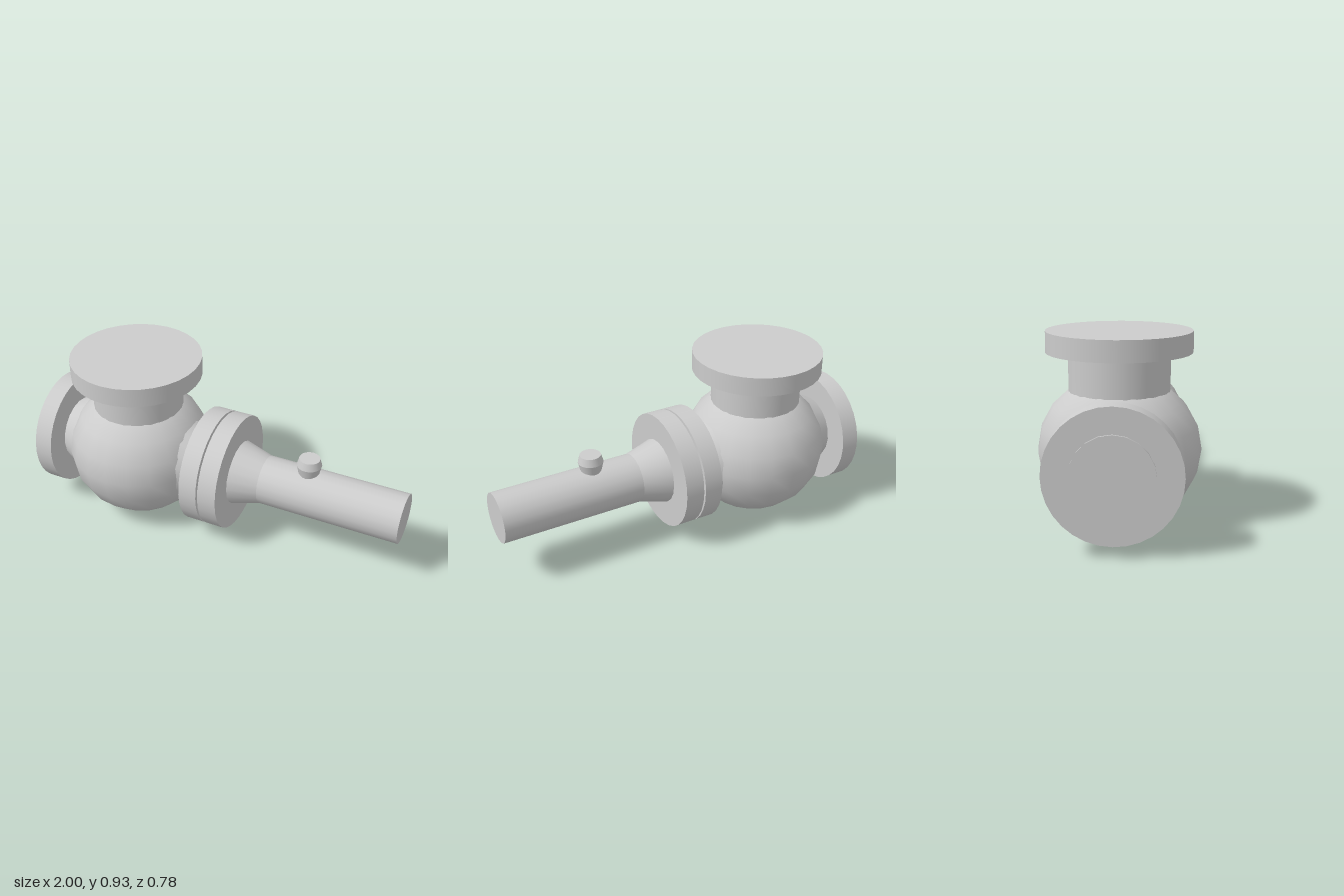
import * as THREE from 'three';

const AXIS_Y = 0.364; // height of the horizontal bore
const grey = new THREE.MeshStandardMaterial({ color: 0xcccccc });

export function createModel() {
  const model = new THREE.Group();
  model.name = 'valve';

  function add(name, geometry, x, y) {
    const mesh = new THREE.Mesh(geometry, grey);
    mesh.name = name;
    mesh.position.set(x, y, 0);
    model.add(mesh);
    return mesh;
  }

  // Round section along x, from (x0, r0) to (x1, r1)
  function along(name, x0, x1, r0, r1 = r0, sides = 20) {
    const geometry = new THREE.CylinderGeometry(r1, r0, x1 - x0, sides);
    geometry.rotateZ(-Math.PI / 2);
    return add(name, geometry, (x0 + x1) / 2, AXIS_Y);
  }

  // Round section along y, at a given x
  function upright(name, x, y0, y1, r0, r1 = r0, sides = 32) {
    return add(name, new THREE.CylinderGeometry(r1, r0, y1 - y0, sides), x, (y0 + y1) / 2);
  }

  // Bulbous body, slightly squashed in height
  const body = add('body', new THREE.SphereGeometry(0.39, 20, 10), -0.5, AXIS_Y);
  body.scale.y = AXIS_Y / 0.39;

  // Bonnet neck and cover
  upright('bonnetNeck', -0.5, 0.5, 0.83, 0.24);
  upright('bonnetCover', -0.5, 0.83, 0.93, 0.345);

  // Inlet and outlet: tapered neck, flange and raised sealing face, mirrored about the body
  for (const [side, s] of [['inlet', -1], ['outlet', 1]]) {
    const section = (name, a, b, ra, rb, sides) => s > 0
      ? along(name, -0.5 + a, -0.5 + b, ra, rb, sides)
      : along(name, -0.5 - b, -0.5 - a, rb, ra, sides);
    section(side + 'Neck', 0.25, 0.4, 0.242, 0.173);
    section(side + 'Flange', 0.392, 0.49, 0.31, 0.31, 32);
    section(side + 'SealingFace', 0.48, 0.5, 0.19, 0.19);
  }

  // Downstream pipe with its mating flange and reducer
  along('pipeSealingFace', -0.012, 0.01, 0.19);
  along('pipeFlange', 0, 0.1, 0.31, 0.31, 32);
  along('reducer', 0.09, 0.25, 0.176, 0.13);
  along('pipe', 0.25, 1, 0.13);

  // Small barrel-shaped port on top of the pipe
  upright('portBase', 0.485, 0.45, 0.535, 0.045, 0.065, 20);
  upright('portTop', 0.485, 0.535, 0.575, 0.065, 0.054, 20);

  return model;
}
